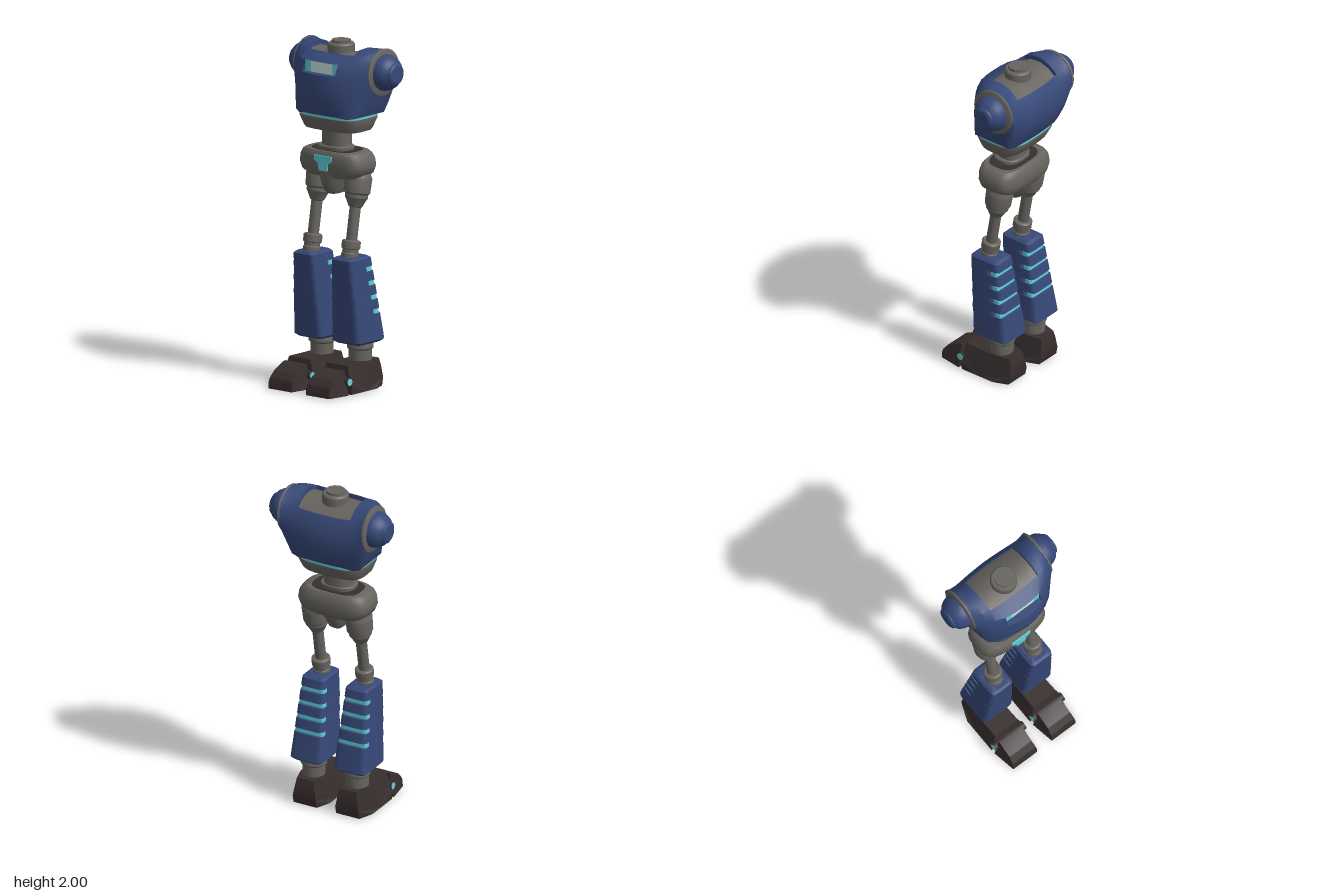
import * as THREE from 'three';
import { toCreasedNormals } from 'three/addons/utils/BufferGeometryUtils.js';

const mat = (name, color, side = THREE.FrontSide) => {
  const m = new THREE.MeshStandardMaterial({ color, side });
  m.name = name;
  return m;
};
const blue = mat('navy armour', 0x364878, THREE.DoubleSide);
const grey = mat('warm grey metal', 0x67645f, THREE.DoubleSide);
const dark = mat('dark brown', 0x382e2e);
const cyan = mat('cyan light', 0x5fd3da);
const pale = mat('pale light', 0xd4f0ec);

function add(parent, name, geo, material, x = 0, y = 0, z = 0) {
  const m = new THREE.Mesh(geo, material);
  m.name = name;
  m.position.set(x, y, z);
  parent.add(m);
  return m;
}

// Surface through rows of points; keep(v, u) can leave cells out
function grid(rows, crease = 0.6, keep = () => true) {
  const pos = [];
  const put = (...ps) => ps.forEach((p) => pos.push(p.x, p.y, p.z));
  for (let v = 0; v < rows.length - 1; v++) {
    for (let u = 0; u < rows[v].length - 1; u++) {
      if (!keep(v, u)) continue;
      const a = rows[v][u], b = rows[v][u + 1], c = rows[v + 1][u + 1], d = rows[v + 1][u];
      if (a.distanceTo(b) > 1e-6) put(a, b, c);
      if (c.distanceTo(d) > 1e-6) put(a, c, d);
    }
  }
  const g = new THREE.BufferGeometry();
  g.setAttribute('position', new THREE.Float32BufferAttribute(pos, 3));
  return toCreasedNormals(g, crease);
}

// Closed stack of rounded sections [y, halfWidth, zFront, zBack], bottom to top
function loft(sections, e = 2, n = 32) {
  const pw = (k) => Math.sign(k) * Math.abs(k) ** (2 / e);
  const ring = ([y, hx, z1, z0], s = 1) => Array.from({ length: n + 1 }, (_, i) => {
    const a = ((i % n) / n) * Math.PI * 2;
    return new THREE.Vector3(s * hx * pw(Math.sin(a)), y, (z1 + z0) / 2 + s * (z1 - z0) / 2 * pw(Math.cos(a)));
  });
  const rows = sections.map((s) => ring(s));
  return grid([ring(sections[0], 0), ...rows, ring(sections[sections.length - 1], 0)]);
}

const lathe = (pts, n = 28) =>
  toCreasedNormals(new THREE.LatheGeometry(pts.map(([r, y]) => new THREE.Vector2(r, y)), n), 0.5);

// Side profile [z, y] extruded across x, then narrowed by a rule
function sideExtrude(profile, half, scale) {
  const s = new THREE.Shape(profile.map(([z, y]) => new THREE.Vector2(-z, y)));
  const g = new THREE.ExtrudeGeometry(s, { depth: 2 * half, bevelEnabled: false });
  g.translate(0, 0, -half).rotateY(Math.PI / 2);
  const p = g.attributes.position;
  for (let i = 0; i < p.count; i++) p.setX(i, p.getX(i) * scale(p.getY(i), p.getZ(i)));
  return toCreasedNormals(g, 0.4);
}

function buildTorso(root) {
  const torso = new THREE.Group();
  torso.name = 'torso';
  root.add(torso);
  // Profiles [z, y] from lower front, over the top, to lower back
  const mid = [[.10, 1.59], [.135, 1.66], [.15, 1.75], [.137, 1.83], [.095, 1.895], [.015, 1.94], [-.04, 1.965],
    [-.11, 1.968], [-.175, 1.95], [-.235, 1.905], [-.27, 1.85], [-.288, 1.76], [-.27, 1.67], [-.225, 1.59]];
  const front = [[.095, 1.59], [.115, 1.66], [.122, 1.75], [.115, 1.83], [.085, 1.895], [.012, 1.94]];
  const quarter = mid.map(([z, y], i) => front[i] || [z + .005, y]);
  const outer = [[.05, 1.59], [.055, 1.66], [.055, 1.75], [.05, 1.83], [.035, 1.895], [0, 1.945], [-.05, 1.97],
    [-.12, 1.975], [-.17, 1.957], [-.22, 1.915], [-.255, 1.86], [-.268, 1.77], [-.245, 1.68], [-.2, 1.59]];
  const angles = [-50, -35, -15, 5, 25, 45, 65, 90, 115, 140, 165, 190, 212, 235];
  const end = angles.map((a) => {
    const t = a * Math.PI / 180;
    return [-.13 + .134 * Math.cos(t), 1.84 + .134 * Math.sin(t)];
  });
  const keys = [[-.277, end], [-.22, outer], [-.12, quarter], [0, mid], [.12, quarter], [.22, outer], [.277, end]];
  const rows = mid.map((_, r) => {
    const c = new THREE.CatmullRomCurve3(keys.map(([x, k]) => new THREE.Vector3(x, k[r][1], k[r][0])), false, 'catmullrom', 0.5);
    return Array.from({ length: 13 }, (_, i) => c.getPoint(i / 12));
  });
  const inPanel = (v, u) => v >= 5 && v < 9 && u >= 3 && u < 9;
  const inVisor = (v, u) => v === 3 && u >= 4 && u < 8;
  add(torso, 'chestShell', grid([...rows, rows[0]], 0.6, (v, u) => !inPanel(v, u) && !inVisor(v, u)), blue);

  // Sunken top panel and visor opening, each with a rim
  const rim = (v0, v1, u0, u1, sink) => {
    const loop = [...rows[v0].slice(u0, u1 + 1), ...rows.slice(v0 + 1, v1).map((r) => r[u1]),
      ...rows[v1].slice(u0, u1 + 1).reverse(), ...rows.slice(v0 + 1, v1).map((r) => r[u0]).reverse(), rows[v0][u0]];
    return grid([loop, loop.map(sink)], 0.3);
  };
  const lower = (p) => new THREE.Vector3(p.x, p.y - .028, p.z);
  add(torso, 'topPanel', grid(rows.slice(5, 10).map((r) => r.slice(3, 10).map(lower))), grey);
  add(torso, 'topPanelRim', rim(5, 9, 3, 9, lower), blue);
  add(torso, 'visorRim', rim(3, 4, 4, 8, (p) => new THREE.Vector3(p.x, p.y, .084)), blue);
  add(torso, 'visor', new THREE.BoxGeometry(.16, .066, .008), pale, 0, 1.8625, .083);
  for (const s of [-1, 1]) add(torso, 'visorEnd', new THREE.BoxGeometry(.04, .066, .008), cyan, s * .1, 1.8625, .083);

  // Neck stub
  add(torso, 'neckBase', lathe([[0, 1.92], [.078, 1.92], [.078, 1.975], [.07, 1.985], [0, 1.985]], 16), grey, 0, 0, -.086);
  add(torso, 'neckTop', lathe([[.056, 1.98], [.056, 2], [0, 2]], 10), grey, 0, 0, -.086);

  // Shoulders
  for (const s of [-1, 1]) {
    const sh = new THREE.Group();
    sh.name = s > 0 ? 'leftShoulder' : 'rightShoulder';
    sh.position.set(0, 1.84, -.13);
    sh.rotation.z = -s * Math.PI / 2;
    add(sh, 'shoulderRing', lathe([[0, .265], [.135, .268], [.137, .28], [.125, .286], [0, .286]], 32), grey);
    add(sh, 'shoulderDome', lathe([[.105, .28], [.105, .3], [.098, .325], [.084, .348], [.066, .363], [.063, .372], [.05, .38], [0, .381]], 32), blue);
    torso.add(sh);
  }

  // Waist
  add(torso, 'waistLight', loft([[1.573, .213, .096, -.222], [1.592, .215, .098, -.224]], 3.4), cyan);
  add(torso, 'waistRing', loft([[1.495, .19, .065, -.185], [1.505, .197, .072, -.193], [1.56, .215, .098, -.222], [1.574, .216, .1, -.224]], 3.4), grey);
  add(torso, 'abdomen', loft([[1.36, .085, .025, -.12], [1.5, .085, .025, -.12]], 2.4), grey);
  add(torso, 'abdomenCollar', loft([[1.365, .105, .04, -.125], [1.395, .105, .04, -.125], [1.4, .098, .034, -.12]], 2.6), grey);
}

function buildPelvis(root) {
  const pelvis = new THREE.Group();
  pelvis.name = 'pelvis';
  root.add(pelvis);
  add(pelvis, 'hipBlock', loft([[1.225, .18, .05, -.165], [1.25, .213, .066, -.182], [1.29, .228, .074, -.19],
    [1.335, .222, .074, -.185], [1.362, .205, .07, -.175], [1.375, .185, .06, -.165]], 3.4), grey);
  add(pelvis, 'pelvisHollow', loft([[1.372, .15, .045, -.15], [1.378, .15, .045, -.15]], 3.2), dark);
  add(pelvis, 'crotch', loft([[1.12, .03, .01, -.09], [1.14, .042, .04, -.12], [1.19, .054, .062, -.15],
    [1.24, .075, .069, -.175], [1.27, .1, .07, -.18]], 2.8), grey);
  const badge = [[-.065, 1.35], [-.065, 1.322], [-.038, 1.305], [-.03, 1.262], [.03, 1.262], [.038, 1.305], [.065, 1.322], [.065, 1.35]];
  const s = new THREE.Shape(badge.map(([x, y]) => new THREE.Vector2(x, y)));
  add(pelvis, 'pelvisLight', new THREE.ExtrudeGeometry(s, { depth: .009, bevelEnabled: false }), cyan, 0, 0, .069);
}

function buildLeg(root, side) {
  const leg = new THREE.Group();
  leg.name = side > 0 ? 'leftLeg' : 'rightLeg';
  leg.position.x = side * .142;
  root.add(leg);

  // Hip socket, thigh rod and knee share one leaning axis
  const thigh = add(leg, 'thigh', lathe([[0, -.5], [.05, -.5], [.05, -.465], [.046, -.46], [.046, -.44], [.054, -.435], [.054, -.395],
    [.046, -.388], [.032, -.388], [.032, -.2], [.04, -.195], [.056, -.16], [.066, -.145], [.066, -.125], [.076, -.115], [.079, -.03], [.06, .01], [0, .01]]),
  grey, 0, 1.25, -.075);
  thigh.rotation.x = -.172;

  // Shin armour: stacked slabs with lit slots in the back
  const sec = (y, inset = 0, back = 0) => {
    const t = (.77 - y) / .5;
    return [y, .075 + .033 * t - inset, .093 - .04 * t - inset, -.105 - .09 * t + inset + back];
  };
  const slots = [.7, .617, .533, .45], h = .014;
  const cuts = [.775, ...slots.flatMap((y) => [y + h, y - h]), .27];
  for (let i = 0; i < cuts.length; i += 2) {
    const top = cuts[i], bottom = cuts[i + 1];
    const b = i === cuts.length - 2 ? [sec(bottom, .018), sec(bottom + .015)] : [sec(bottom)];
    const t = i === 0 ? [sec(top - .012), sec(top, .015)] : [sec(top)];
    add(leg, 'shinSlab', loft([...b, ...t], 7), blue);
  }
  for (const y of slots) {
    add(leg, 'shinCore', loft([sec(y - h, 0, .06), sec(y + h, 0, .06)], 7), blue);
    const [, hx, , zb] = sec(y);
    add(leg, 'shinLight', loft([[y - h, hx - .006, zb + .062, zb + .014], [y + h * .6, hx - .006, zb + .062, zb + .014]], 7), cyan);
  }

  // Ankle
  add(leg, 'ankle', lathe([[0, .15], [.066, .15], [.066, .225], [.076, .235], [.076, .262], [.066, .29], [0, .29]]), grey, 0, 0, -.085);

  // Foot: heel block, hinged toe and axle
  const foot = new THREE.Group();
  foot.name = 'foot';
  foot.position.x = -side * .003;
  leg.add(foot);
  const narrow = (y) => 1 - .32 * Math.max(0, y - .05) / .115;
  add(foot, 'heel', sideExtrude([[.12, .004], [.124, .05], [.122, .12], [.112, .165], [.0, .165], [-.1, .165], [-.185, .163], [-.196, .12],
    [-.2, .05], [-.19, .004], [-.1, .004], [0, .004]], .117,
  (y, z) => narrow(y) * (z < -.1 ? 1 - .35 * (-.1 - z) / .1 : 1) * (y < .02 ? .95 : 1)), dark);
  add(foot, 'toe', sideExtrude([[.146, .004], [.288, .004], [.286, .04], [.278, .065], [.245, .103], [.165, .142], [.146, .145]], .11,
    (y, z) => narrow(y) * (1 - .22 * (z - .146) / .142)), dark);
  add(foot, 'hingeBlock', new THREE.BoxGeometry(.13, .09, .05), dark, 0, .06, .135);
  const bar = (name, r, len, m) => {
    add(foot, name, new THREE.CylinderGeometry(r, r, len, 20), m, 0, .08, .135).rotation.z = Math.PI / 2;
  };
  bar('hingeAxle', .026, .22, dark);
  bar('hingeLight', .02, .226, cyan);

  // Sole pads
  add(foot, 'solePad', new THREE.CylinderGeometry(.06, .06, .006, 24), pale, 0, .003, -.03).scale.z = 1.2;
  for (const s of [-1, 1]) add(foot, 'toePad', new THREE.CylinderGeometry(.02, .02, .006, 16), grey, s * .04, .003, .22);
}

export function createModel() {
  const root = new THREE.Group();
  root.name = 'robotBody';
  buildTorso(root);
  buildPelvis(root);
  for (const side of [-1, 1]) buildLeg(root, side);
  return root;
}
